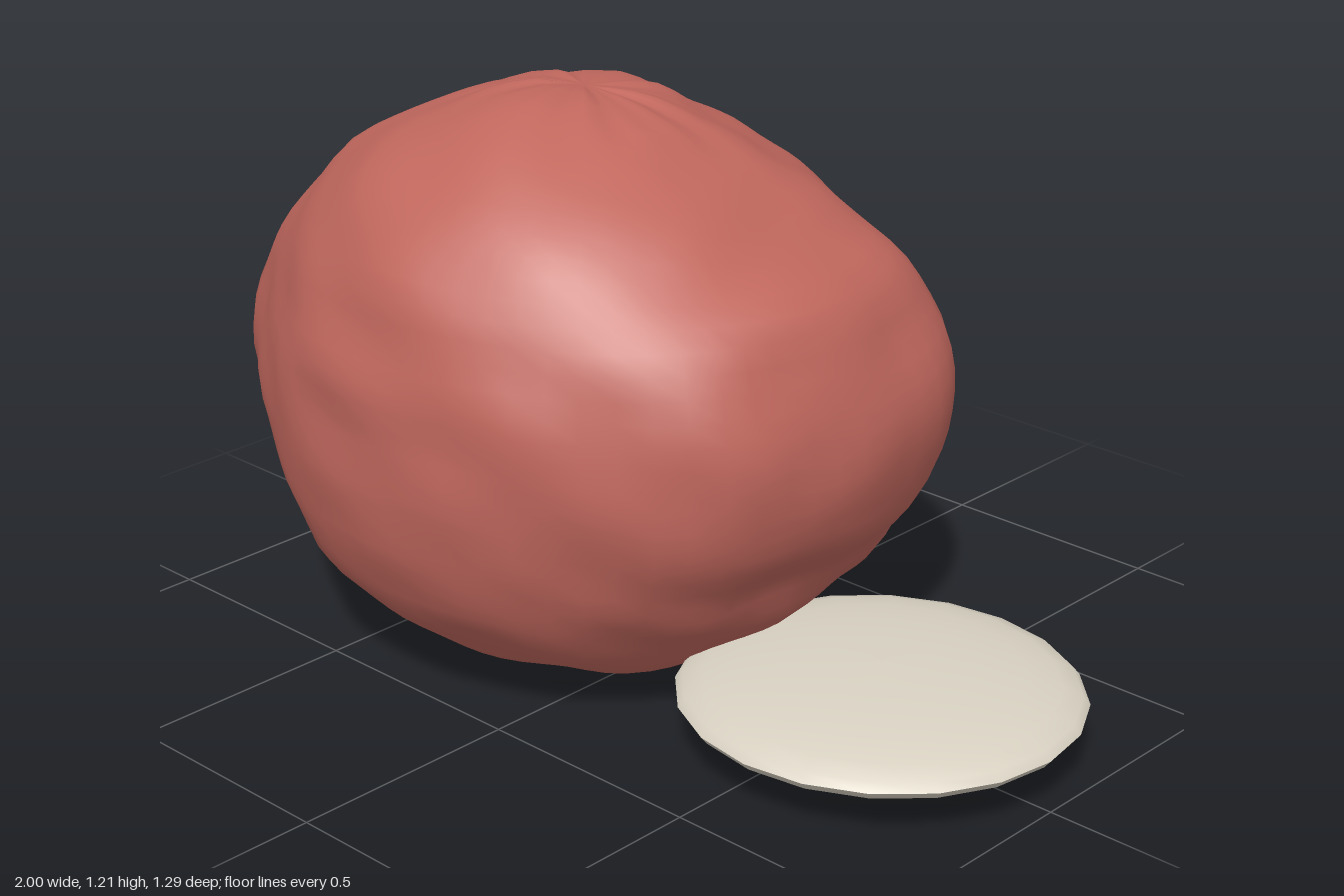
import * as THREE from 'three';
import { mergeVertices } from 'three/addons/utils/BufferGeometryUtils.js';

const clay = new THREE.MeshStandardMaterial({ color: 0xc0675d });
clay.name = 'clay red';
const bone = new THREE.MeshStandardMaterial({ color: 0xd8d1c2 });
bone.name = 'pale bone';

// Boulder: an ellipsoid shaped by one outline in each main plane
const CENTRE = new THREE.Vector3(-0.24, 0.6, 0);
const RADII = new THREE.Vector3(0.76, 0.6, 0.645);

const OUTLINE_XY = [
  [-1.01, 0.52], [-0.985, 0.63], [-0.92, 0.76], [-0.85, 0.86], [-0.79, 0.96], [-0.71, 1.04],
  [-0.58, 1.11], [-0.45, 1.16], [-0.31, 1.2], [-0.19, 1.21], [0, 1.155], [0.1, 1.1],
  [0.28, 0.97], [0.44, 0.87], [0.47, 0.79], [0.52, 0.62], [0.52, 0.51], [0.48, 0.41],
  [0.4, 0.31], [0.34, 0.2], [0.2, 0.085], [0, 0.025], [-0.34, 0.005], [-0.61, 0.03],
  [-0.77, 0.14], [-0.87, 0.26], [-0.955, 0.41],
];
const OUTLINE_ZY = [
  [0.09, 1.21], [0.19, 1.2], [0.39, 1.12], [0.49, 1.05], [0.59, 0.92], [0.62, 0.81],
  [0.65, 0.72], [0.625, 0.62], [0.64, 0.45], [0.615, 0.33], [0.56, 0.22], [0.42, 0.11],
  [0.3, 0.07], [0.125, 0.03], [-0.01, 0.015], [-0.21, 0], [-0.4, 0.04], [-0.475, 0.095],
  [-0.59, 0.26], [-0.65, 0.43], [-0.64, 0.57], [-0.6, 0.68], [-0.575, 0.85], [-0.51, 0.94],
  [-0.415, 1.03], [-0.29, 1.11], [-0.15, 1.18], [0, 1.19],
];
const OUTLINE_XZ = [
  [-1.01, 0], [-1, 0.1], [-0.95, 0.32], [-0.8, 0.43], [-0.64, 0.535], [-0.48, 0.63],
  [-0.14, 0.64], [0.055, 0.6], [0.22, 0.52], [0.38, 0.41], [0.46, 0.32], [0.51, 0.08],
  [0.52, -0.11], [0.49, -0.32], [0.43, -0.41], [0.32, -0.48], [0.16, -0.535],
  [-0.05, -0.615], [-0.25, -0.65], [-0.39, -0.65], [-0.585, -0.6], [-0.72, -0.535],
  [-0.84, -0.4], [-0.905, -0.24],
];

// Swellings and hollows between the main planes: direction x, y, z and height
const LOBES = [
  [0.31, -0.88, 0.36, 0.055], [-0.31, -0.88, 0.36, 0.06], [-0.31, -0.88, -0.36, 0.025],
  [0.31, 0.88, -0.36, -0.045], [-0.45, 0.35, 0.82, -0.02], [-0.85, -0.1, -0.5, -0.02],
].map(([x, y, z, h]) => ({ dir: new THREE.Vector3(x, y, z).normalize(), h }));

// Turns an outline into a function: angle -> radius relative to the ellipsoid
function polar(points, a, b) {
  const list = points.map(([u, v]) => {
    const p = (u - CENTRE[a]) / RADII[a];
    const q = (v - CENTRE[b]) / RADII[b];
    return { angle: Math.atan2(q, p), r: Math.hypot(p, q) };
  }).sort((m, n) => m.angle - n.angle);
  const first = list[0];
  const last = list[list.length - 1];
  list.unshift({ angle: last.angle - 2 * Math.PI, r: last.r });
  list.push({ angle: first.angle + 2 * Math.PI, r: first.r });
  return (p, q) => {
    const angle = Math.atan2(q, p);
    const i = list.findIndex((e) => e.angle > angle);
    const t = (angle - list[i - 1].angle) / (list[i].angle - list[i - 1].angle);
    return THREE.MathUtils.lerp(list[i - 1].r, list[i].r, t * t * (3 - 2 * t));
  };
}
const radiusXY = polar(OUTLINE_XY, 'x', 'y');
const radiusZY = polar(OUTLINE_ZY, 'z', 'y');
const radiusXZ = polar(OUTLINE_XZ, 'x', 'z');

// Blend of the three outlines, each strongest near its own plane, plus the lobes
function bodyRadius(d) {
  const wz = 1 / (d.z * d.z + 0.03);
  const wx = 1 / (d.x * d.x + 0.03);
  const wy = 1 / (d.y * d.y + 0.03);
  const blend = (wz * radiusXY(d.x, d.y) + wx * radiusZY(d.z, d.y) + wy * radiusXZ(d.x, d.z))
    / (wx + wy + wz);
  return LOBES.reduce((r, { dir, h }) => r + h * Math.exp((d.dot(dir) - 1) * 14), blend);
}

// Small-scale roughness
function rough(d) {
  return 0.007 * Math.sin(9 * d.x + 4 * d.y + 1.3) * Math.sin(8 * d.z - 5 * d.y + 0.4)
    + 0.006 * Math.sin(15 * d.y + 5 * d.z + 2.1) * Math.sin(14 * d.x - 6 * d.z);
}

// Folds that gather at the top and bottom poles
function folds(d) {
  const a = Math.atan2(d.z, d.x);
  const r = Math.hypot(d.x, d.z);
  const fade = Math.exp(-((r - 0.2) ** 2) / 0.05) * Math.min(1, r * 8);
  return 0.006 * fade * (Math.sin(9 * a + 0.6) + 0.7 * Math.sin(14 * a + 2));
}

function boulderGeometry() {
  let geo = new THREE.SphereGeometry(1, 64, 44);
  geo.deleteAttribute('uv');
  geo.deleteAttribute('normal');
  geo = mergeVertices(geo, 1e-4);
  const pos = geo.attributes.position;
  const d = new THREE.Vector3();
  for (let i = 0; i < pos.count; i++) {
    d.fromBufferAttribute(pos, i).normalize();
    const r = bodyRadius(d) + rough(d) + folds(d) - 0.004;
    d.multiplyScalar(r).multiply(RADII).add(CENTRE);
    pos.setXYZ(i, d.x, Math.max(d.y, 0), d.z);
  }
  geo.computeVertexNormals();
  return geo;
}

// One half of the flattened disc, with a crisp rim
function discHalf(sign) {
  const profile = [];
  for (let i = 0; i <= 6; i++) {
    const t = (i / 6) * Math.PI / 2;
    profile.push(new THREE.Vector2(Math.max(Math.sin(t) * 0.415, 1e-4), sign * 0.067 * Math.cos(t)));
  }
  if (sign > 0) profile.reverse();
  return new THREE.LatheGeometry(profile, 20);
}

export function createModel() {
  const model = new THREE.Group();
  model.name = 'boulderAndDisc';

  const boulder = new THREE.Mesh(boulderGeometry(), clay);
  boulder.name = 'boulder';
  model.add(boulder);

  const disc = new THREE.Group();
  disc.name = 'disc';
  for (const [name, sign] of [['discTop', 1], ['discUnderside', -1]]) {
    const half = new THREE.Mesh(discHalf(sign), bone);
    half.name = name;
    disc.add(half);
  }
  disc.position.set(0.585, 0.113, 0.01);
  disc.scale.z = 0.975;
  model.add(disc);
  return model;
}
